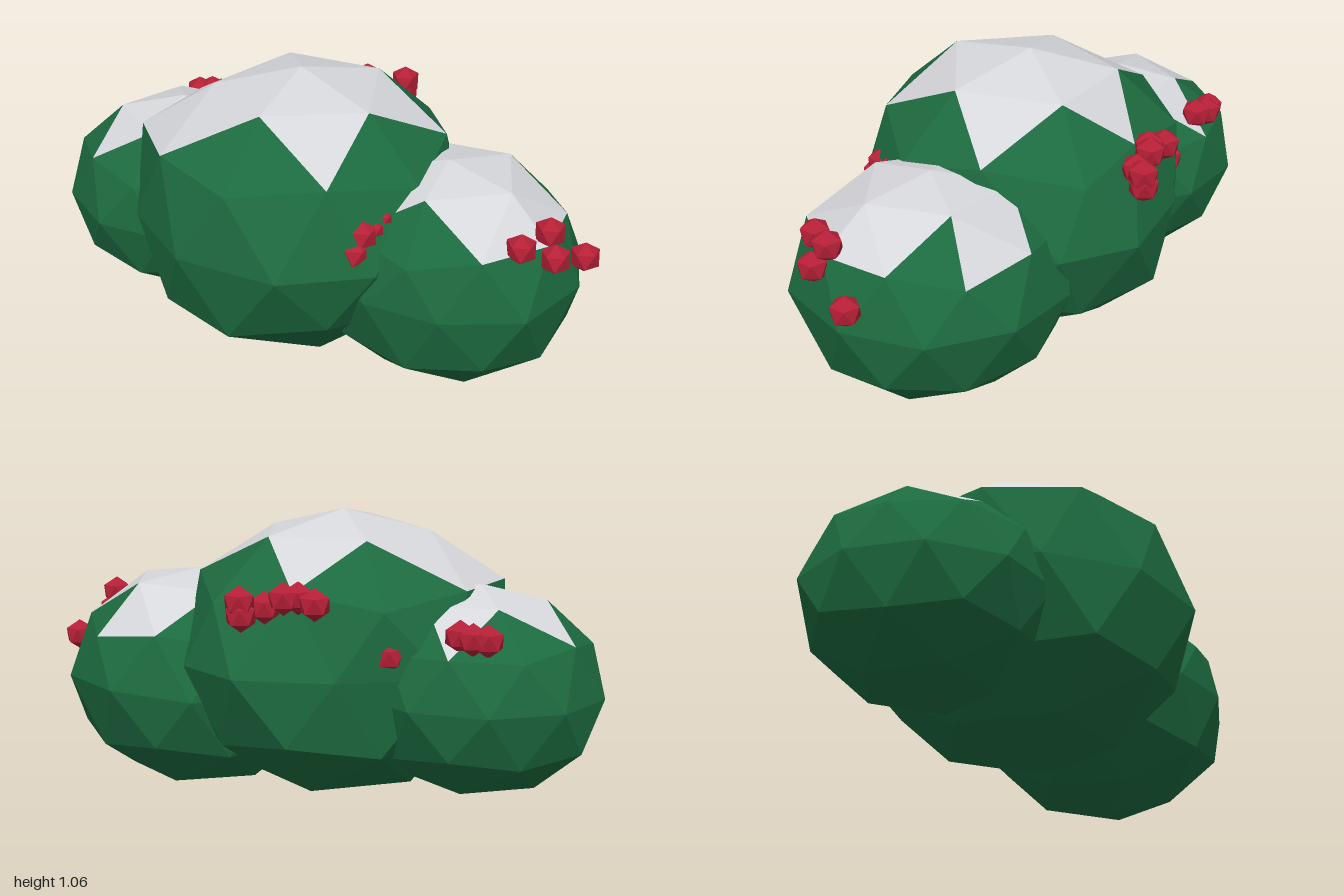
import * as THREE from 'three';

const mat = (name, color) => {
  const m = new THREE.MeshStandardMaterial({ color, flatShading: true });
  m.name = name;
  return m;
};

// Faceted ball of 80 triangles built from rings; material group 0 is leaf, 1 is snow.
// snowTips lists extra [inner, outer, outer] snow triangles; nudges shift single corners.
function makeClump({ centre, radius, snowTips = [], nudges = {} }) {
  const points = {};
  const put = (key, degrees, h) => {
    const a = THREE.MathUtils.degToRad(degrees), r = Math.sqrt(1 - h * h);
    points[key] = new THREE.Vector3(Math.cos(a) * r, h, Math.sin(a) * r)
      .multiply(new THREE.Vector3(...radius))
      .add(new THREE.Vector3(...(nudges[key] || [0, 0, 0])));
  };
  put('top', 0, 1);
  put('bottom', 0, -1);
  for (let k = 0; k < 5; k++) {
    put('I' + k, 72 * k, 0.851);
    put('J' + k, 72 * k + 36, -0.851);
  }
  for (let j = 0; j < 10; j++) {
    put('U' + j, 36 * j, j % 2 ? 0.526 : 0.447);
    put('E' + j, 36 * j + 18, 0);
    put('L' + j, 36 * j, j % 2 ? -0.447 : -0.526);
  }

  const leafFaces = [], snowFaces = [];
  const isTip = (f) => snowTips.some((t) => t.every((key) => f.includes(key)));
  const face = (...f) => (isTip(f) ? snowFaces : leafFaces).push(f);
  const n = (letter, i) => letter + ((i + 10) % 10);
  for (let k = 0; k < 5; k++) {
    const i = 'I' + k, i2 = 'I' + ((k + 1) % 5), b = 'J' + k, b2 = 'J' + ((k + 1) % 5);
    // star-shaped snow cap
    snowFaces.push(['top', i, i2], [i, i2, n('U', 2 * k + 1)]);
    face(i, n('U', 2 * k), n('U', 2 * k + 1));
    face(i, n('U', 2 * k - 1), n('U', 2 * k));
    // underside
    face('bottom', b, b2);
    face(b, b2, n('L', 2 * k + 2));
    face(b, n('L', 2 * k), n('L', 2 * k + 1));
    face(b, n('L', 2 * k + 1), n('L', 2 * k + 2));
  }
  // belt around the middle
  for (let j = 0; j < 10; j++) {
    face(n('U', j), n('E', j), n('U', j + 1));
    face(n('U', j), n('E', j - 1), n('E', j));
    face(n('E', j), n('L', j), n('L', j + 1));
    face(n('E', j - 1), n('L', j), n('E', j));
  }

  const positions = [];
  for (const f of [...leafFaces, ...snowFaces]) {
    const [a, b, c] = f.map((key) => points[key]);
    const normal = b.clone().sub(a).cross(c.clone().sub(a));
    const outward = normal.dot(a.clone().add(b).add(c)) > 0;
    for (const p of outward ? [a, b, c] : [a, c, b]) positions.push(p.x, p.y, p.z);
  }
  const geo = new THREE.BufferGeometry();
  geo.setAttribute('position', new THREE.Float32BufferAttribute(positions, 3));
  geo.addGroup(0, leafFaces.length * 3, 0);
  geo.addGroup(leafFaces.length * 3, snowFaces.length * 3, 1);
  geo.computeVertexNormals();
  geo.translate(...centre);
  return geo;
}

export function createModel() {
  const model = new THREE.Group();
  model.name = 'snowyBerryBush';
  const leaf = mat('leafGreen', 0x1d6b40);
  const snow = mat('snowWhite', 0xd6d7db);
  const red = mat('berryRed', 0xb51f36);

  // Three overlapping foliage clumps
  const clumps = {
    middleClump: {
      centre: [-0.06, 0.55, 0.015], radius: [0.575, 0.52, 0.62],
      snowTips: [['I2', 'U3', 'U4'], ['I2', 'U4', 'U5']],
      nudges: {
        I0: [0.02, 0, 0], I1: [0.01, 0.022, 0], U0: [0.04, 0, -0.01], U1: [0.02, 0.02, 0],
        U2: [0, 0.03, 0.01], U3: [-0.02, 0.025, 0.02], U4: [-0.05, 0.035, 0.02],
        U5: [-0.04, 0, 0], U7: [0.03, 0.01, 0.06], U9: [0.03, 0.02, 0.01],
        E0: [0.03, 0, 0.05], E1: [0.03, 0, 0.01], E4: [-0.03, 0, 0], E5: [-0.02, 0, 0.02],
        E6: [0.03, 0, 0.05], E8: [-0.06, 0, -0.05], E9: [-0.02, 0, -0.07],
        L1: [0.02, 0, 0], L2: [0, -0.02, 0.025], L3: [0.02, -0.02, 0.02],
        L4: [0.05, 0, 0], L5: [0.05, 0, 0], J0: [0.03, 0, 0], J4: [0.03, 0, 0],
      },
    },
    rightClump: {
      centre: [-0.57, 0.46, 0.125], radius: [0.45, 0.375, 0.435],
      nudges: { I3: [0.03, 0, 0], U7: [0, -0.02, -0.02], L5: [-0.015, 0, 0] },
    },
    leftClump: {
      centre: [0.48, 0.422, -0.17], radius: [0.507, 0.415, 0.463],
      snowTips: [['I0', 'U9', 'U0'], ['I0', 'U0', 'U1'], ['I4', 'U7', 'U8']],
      nudges: {
        top: [0, -0.01, 0.01], I0: [0, 0.015, 0], I1: [0, 0.01, 0.005], I4: [0, 0.015, 0],
        U0: [-0.02, 0.045, 0], U1: [0, 0.015, 0.025], U9: [-0.01, 0.01, 0],
        E0: [0, 0.025, 0.03], E1: [-0.03, 0.02, 0], E2: [0, 0.02, -0.015],
        E7: [0, 0.02, -0.01], E8: [0, 0.02, -0.01], E9: [-0.01, 0.025, 0], bottom: [0, 0, 0.015],
      },
    },
  };
  for (const [name, spec] of Object.entries(clumps)) {
    const mesh = new THREE.Mesh(makeClump(spec), [leaf, snow]);
    mesh.name = name;
    model.add(mesh);
  }

  // Berry clusters
  const berryGeo = new THREE.IcosahedronGeometry(0.057, 0).rotateX(-1.0172);
  const clusters = {
    leftBerries: [[0.9, 0.695, -0.185], [0.875, 0.672, -0.06], [0.945, 0.62, -0.16], [0.94, 0.545, -0.35]],
    backBerries: [
      [-0.085, 0.815, -0.585], [-0.09, 0.77, -0.585], [-0.125, 0.79, -0.505],
      [-0.195, 0.825, -0.49], [-0.225, 0.825, -0.45], [-0.295, 0.81, -0.45],
    ],
    rightBerries: [[-0.78, 0.7, -0.15], [-0.74, 0.705, -0.18], [-0.69, 0.71, -0.18], [-0.47, 0.63, -0.275]],
    frontBerries: [[0.435, 0.62, 0.27], [0.435, 0.675, 0.235], [0.435, 0.675, 0.185], [0.435, 0.7, 0.14]],
  };
  for (const [name, spots] of Object.entries(clusters)) {
    const cluster = new THREE.Group();
    cluster.name = name;
    for (const p of spots) {
      const berry = new THREE.Mesh(berryGeo, red);
      berry.name = 'berry';
      berry.position.set(...p);
      cluster.add(berry);
    }
    model.add(cluster);
  }
  return model;
}
